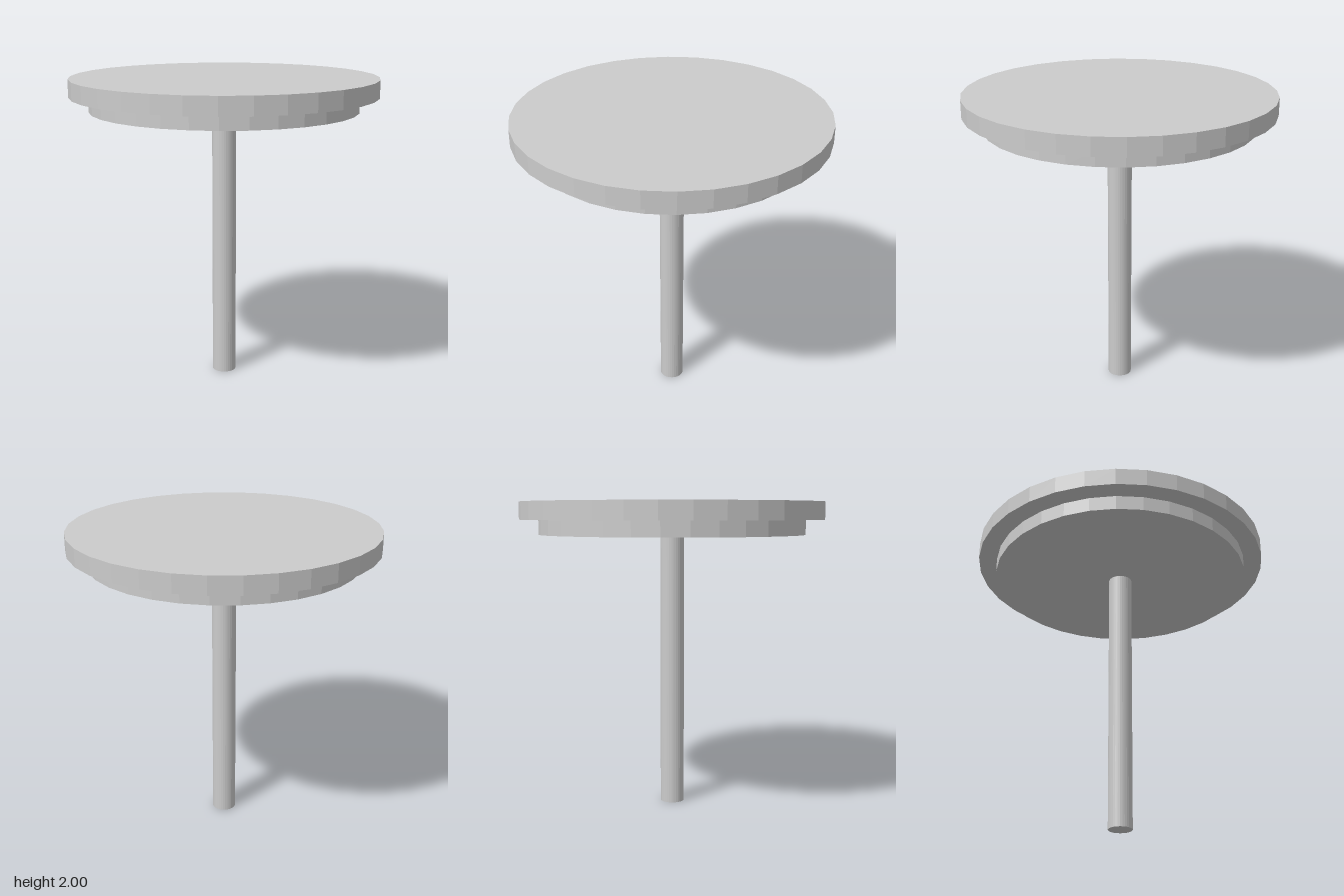
import * as THREE from 'three';

const material = new THREE.MeshStandardMaterial({ color: 0xcccccc, flatShading: true });

// Upright 32-sided disc or post between two heights
function cylinder(name, radius, bottom, top) {
  const geometry = new THREE.CylinderGeometry(radius, radius, top - bottom, 32);
  const mesh = new THREE.Mesh(geometry, material);
  mesh.name = name;
  mesh.position.y = (bottom + top) / 2;
  return mesh;
}

export function createModel() {
  const table = new THREE.Group();
  table.name = 'pedestalTable';
  table.add(
    cylinder('tableTop', 0.988, 1.886, 2),
    cylinder('underPlate', 0.865, 1.79, 1.886),
    cylinder('post', 0.078, 0, 1.79)
  );
  return table;
}
